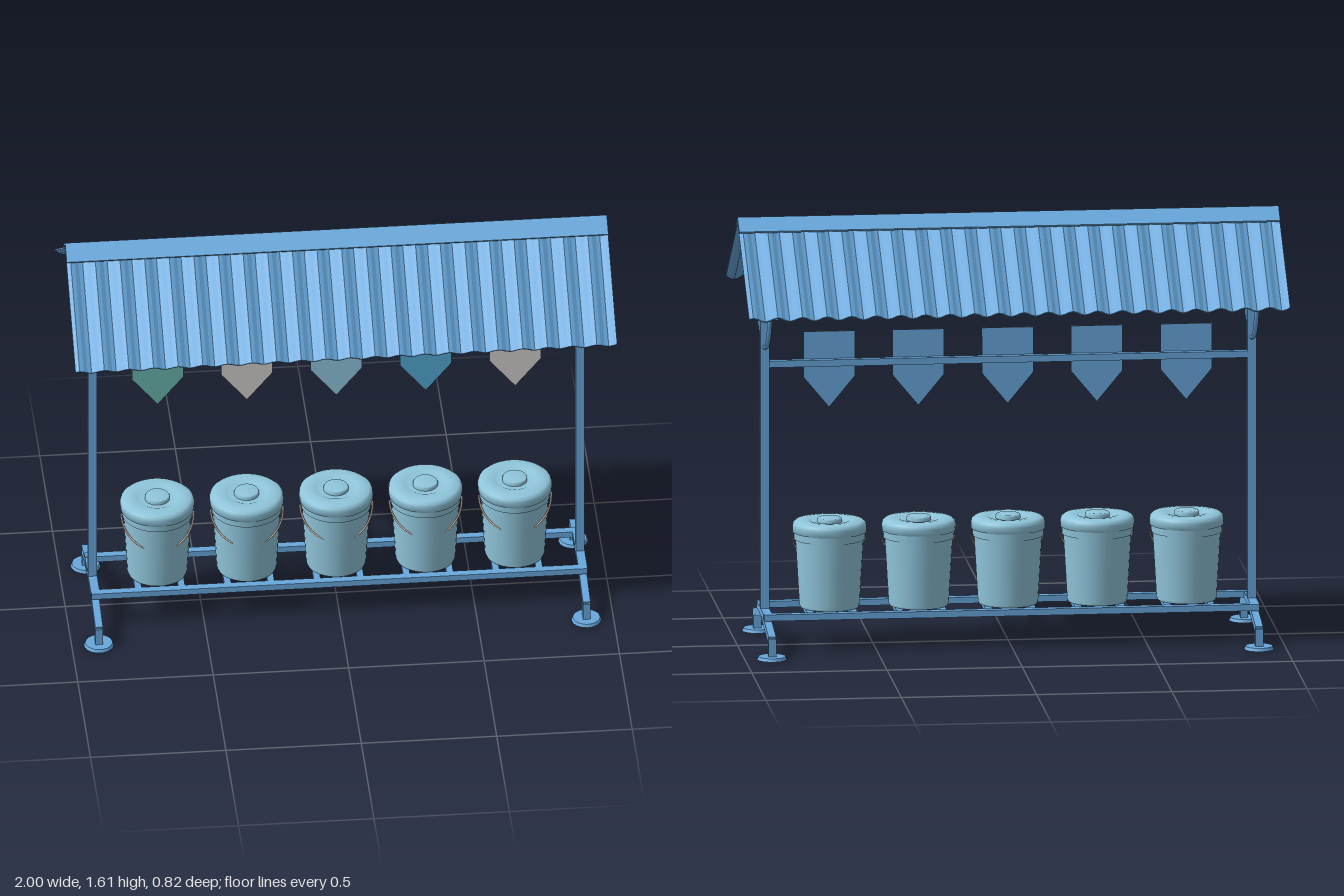
import * as THREE from 'three';

const mat = (name, color, side = THREE.FrontSide) => {
  const m = new THREE.MeshStandardMaterial({ color, side });
  m.name = name;
  return m;
};

export function createModel() {
  const root = new THREE.Group();
  root.name = 'bucketStand';
  const frame = mat('frameBlue', 0x68a8dd);
  const bucketMat = mat('bucketBlue', 0x90c6dc);
  const wireMat = mat('wireTan', 0xd2bcaa);
  const teal = mat('pennantTeal', 0x68b4ae);
  const grey = mat('pennantGrey', 0xd2cfcb);
  const sky = mat('pennantBlue', 0x52a9d4);

  const add = (name, geo, material, parent = root) => {
    const m = new THREE.Mesh(geo, material);
    m.name = name;
    parent.add(m);
    return m;
  };
  const box = (name, w, h, d, x, y, z, parent = root, material = frame) => {
    const m = add(name, new THREE.BoxGeometry(w, h, d), material, parent);
    m.position.set(x, y, z);
    return m;
  };
  // square bar between two points of the z-y plane
  const barZY = (name, x, z0, y0, z1, y1, t, parent) => {
    const m = box(name, t, t, Math.hypot(z1 - z0, y1 - y0), x, (y0 + y1) / 2, (z0 + z1) / 2, parent);
    m.rotation.x = -Math.atan2(y1 - y0, z1 - z0);
  };

  // end frames: post, truss, half ring, splayed legs and pads
  for (const s of [-1, 1]) {
    const end = new THREE.Group();
    end.name = s > 0 ? 'leftEndFrame' : 'rightEndFrame';
    root.add(end);
    const x = 0.9 * s;
    box('post', 0.033, 1.19, 0.036, x, 0.71, 0, end);
    box('kingPost', 0.025, 0.28, 0.022, x, 1.435, 0, end);
    box('tieBeam', 0.025, 0.023, 0.75, x, 1.307, 0, end);
    box('baseCrossbar', 0.033, 0.024, 0.25, x, 0.128, 0, end);
    const ring = add('halfRing', new THREE.TorusGeometry(0.195, 0.009, 8, 18, Math.PI), frame, end);
    ring.rotation.set(Math.PI, Math.PI / 2, 0, 'YXZ');
    ring.position.set(x, 1.315, 0);
    for (const f of [-1, 1]) {
      barZY('rafter', x, 0, 1.562, f * 0.365, 1.303, 0.024, end);
      barZY('leg', x, 0, 0.122, f * 0.272, 0.072, 0.028, end);
      box('legStub', 0.028, 0.07, 0.034, x, 0.043, f * 0.263, end);
      const pad = add('footPad', new THREE.CylinderGeometry(0.05, 0.055, 0.012, 24), frame, end);
      pad.position.set(x, 0.006, f * 0.263);
    }
  }

  // long members
  box('pennantBar', 1.78, 0.025, 0.025, 0, 1.055, 0);
  box('ridgeBeam', 1.8, 0.024, 0.022, 0, 1.545, 0);
  for (const f of [-1, 1]) box('bottomRail', 1.83, 0.024, 0.03, 0, 0.129, f * 0.123);

  // corrugated roof: one wavy profile pushed down each slope
  const waves = 22, per = 6, n = waves * per, half = 0.003;
  const wave = (i) => [-1 + (2 * i) / n, 0.01 * Math.sin((i / per) * Math.PI * 2 + 0.5)];
  const profile = [];
  for (let i = 0; i <= n; i++) {
    const [x, y] = wave(i);
    profile.push(new THREE.Vector2(x, y - half));
  }
  for (let i = n; i >= 0; i--) {
    const [x, y] = wave(i);
    profile.push(new THREE.Vector2(x, y + half));
  }
  const sheet = new THREE.ExtrudeGeometry(new THREE.Shape(profile), { depth: 0.492, bevelEnabled: false });
  for (const turn of [0, Math.PI]) {
    const side = new THREE.Group();
    side.name = turn ? 'backRoof' : 'frontRoof';
    side.rotation.y = turn;
    side.position.y = 1.583;
    root.add(side);
    const slope = new THREE.Group();
    slope.name = 'roofSlope';
    slope.rotation.x = Math.atan2(0.278, 0.4);
    side.add(slope);
    add('corrugatedSheet', sheet, frame, slope);
    box('ridgeCap', 2, 0.008, 0.074, 0, 0.017, 0.025, slope);
  }

  // pennants: coloured front face on a frame-coloured back
  const flag = new THREE.Shape([[-0.095, 1.17], [-0.095, 1.0], [0, 0.885], [0.095, 1.0], [0.095, 1.17]]
    .map(([x, y]) => new THREE.Vector2(x, y)));
  const flagGeo = new THREE.ExtrudeGeometry(flag, { depth: 0.0015, bevelEnabled: false });
  const flagMats = [teal, grey, bucketMat, sky, grey];

  // bucket profiles
  const v = (pts) => pts.map(([r, y]) => new THREE.Vector2(r, y));
  const bodyGeo = new THREE.LatheGeometry(v([[0, 0.141], [0.108, 0.141], [0.108, 0.141], [0.111, 0.15],
    [0.126, 0.405]]), 36);
  const collarGeo = new THREE.CylinderGeometry(0.132, 0.13, 0.03, 36);
  const lidGeo = new THREE.LatheGeometry(v([[0.125, 0.42], [0.136, 0.422], [0.137, 0.445], [0.134, 0.456],
    [0.124, 0.464], [0.1, 0.467], [0.075, 0.465], [0.062, 0.458], [0, 0.458]]), 36);
  const knobGeo = new THREE.LatheGeometry(v([[0.046, 0.455], [0.046, 0.468], [0.042, 0.474], [0, 0.475]]), 28);
  const arc = [];
  for (let i = 0; i <= 16; i++) {
    const t = (i / 16) * Math.PI;
    arc.push(new THREE.Vector3(0.134 * Math.cos(t), 0.4 - 0.1 * Math.sin(t), 0.005 + 0.108 * Math.sin(t)));
  }
  const handleGeo = new THREE.TubeGeometry(new THREE.CatmullRomCurve3(arc), 32, 0.0035, 6);

  for (let i = 0; i < 5; i++) {
    const x = (i - 2) * 0.33;
    add('pennantBack', flagGeo, frame).position.set(x, 0, 0.0128);
    add('pennantFront', flagGeo, flagMats[i]).position.set(x, 0, 0.0143);

    const bucket = new THREE.Group();
    bucket.name = 'bucket';
    bucket.position.x = x;
    root.add(bucket);
    add('bucketBody', bodyGeo, bucketMat, bucket);
    add('bucketCollar', collarGeo, bucketMat, bucket).position.y = 0.41;
    add('bucketLid', lidGeo, bucketMat, bucket);
    add('lidKnob', knobGeo, bucketMat, bucket);
    add('bucketHandle', handleGeo, wireMat, bucket);

    // rungs carrying the bucket
    for (const o of [-0.08, 0.08]) box('rung', 0.025, 0.02, 0.23, x + o, 0.129, 0);
  }

  // thin painted strips on three pennants
  box('pennantPatch', 0.065, 0.032, 0.001, 0.063, 1.153, 0.0163, root, sky);
  box('pennantStrip', 0.188, 0.036, 0.001, 0.33, 1.151, 0.0163, root, frame);
  box('pennantStrip', 0.18, 0.014, 0.001, 0.66, 1.147, 0.0163, root, frame);
  box('pennantLine', 0.18, 0.006, 0.001, 0.66, 1.16, 0.0163, root, wireMat);
  return root;
}
